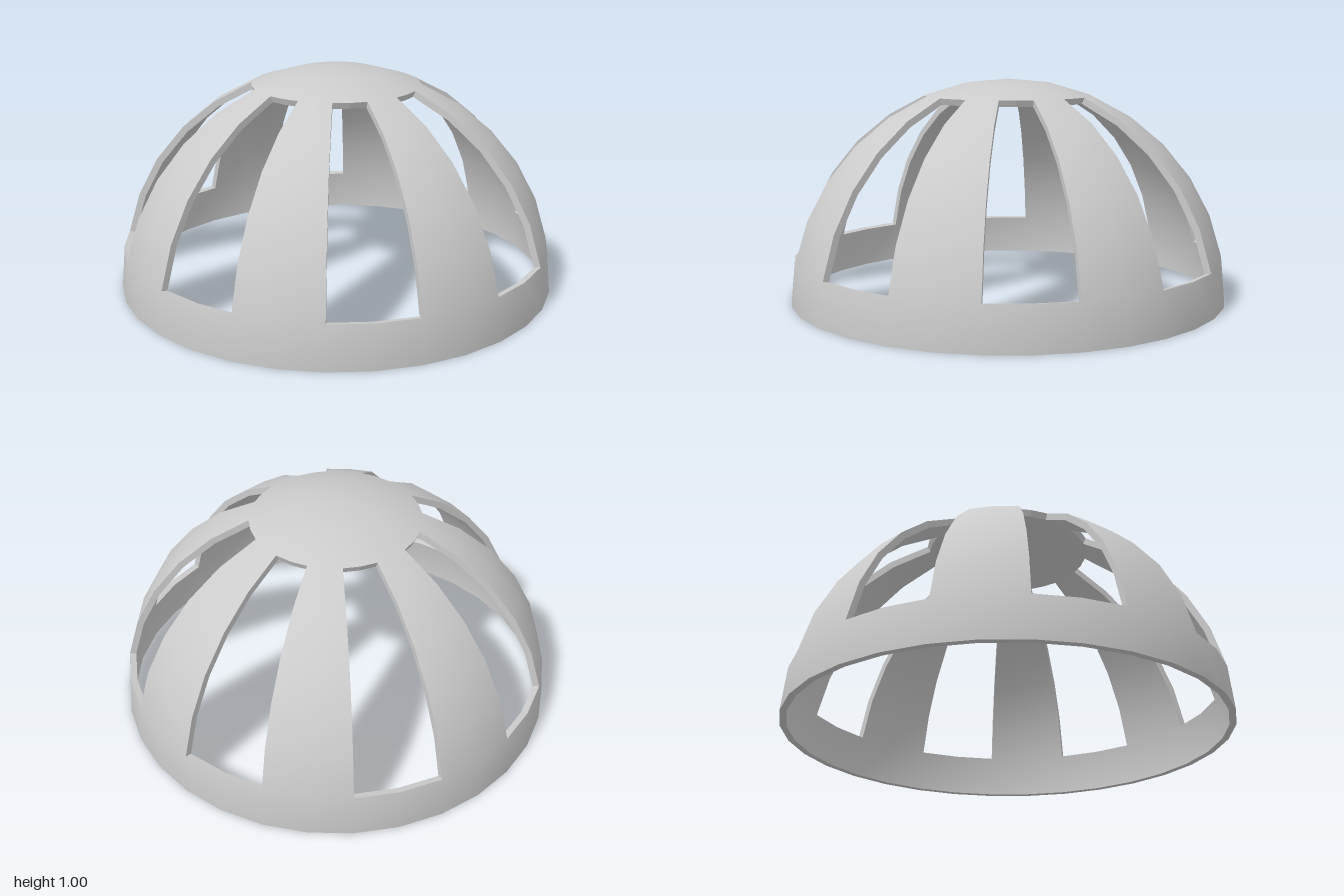
import * as THREE from 'three';

const SEGMENTS = 32, RINGS = 8;    // cells around the dome and from pole to base
const OUTER = 1, INNER = 0.97;
const CROWN_END = 2, RIM_START = 7; // rings between these hold the ribs and windows

// Point of the spherical grid: segment i counted from the front, ring k from the pole
function point(i, k, r) {
  const a = (i / SEGMENTS) * Math.PI * 2, t = (k / RINGS) * Math.PI / 2;
  return new THREE.Vector3(Math.sin(t) * Math.sin(a), Math.cos(t), Math.sin(t) * Math.cos(a)).multiplyScalar(r);
}

// Two-cell ribs alternate with two-cell windows; crown and rim are closed
function solid(i, k) {
  if (k >= RINGS) return false;
  return k < CROWN_END || k >= RIM_START || (i + 1 + SEGMENTS) % 4 < 2;
}

// Thick shell over a range of cells, walled wherever it borders an opening
function shell(name, i0, i1, k0, k1, material) {
  const positions = [], normals = [];
  const triangle = (pts, nrm) => pts.forEach((p, n) => {
    positions.push(p.x, p.y, p.z);
    normals.push(nrm[n].x, nrm[n].y, nrm[n].z);
  });
  const quad = (p, n) => {
    triangle([p[0], p[1], p[2]], [n[0], n[1], n[2]]);
    if (p[0].distanceTo(p[3]) > 1e-6) triangle([p[0], p[2], p[3]], [n[0], n[2], n[3]]);
  };
  const wall = (p, q) => {
    const c = [point(...p, OUTER), point(...p, INNER), point(...q, INNER), point(...q, OUTER)];
    const n = c[1].clone().sub(c[0]).cross(c[3].clone().sub(c[0])).normalize();
    quad(c, [n, n, n, n]);
  };
  for (let i = i0; i < i1; i++) {
    for (let k = k0; k < k1; k++) {
      const tl = [i, k], bl = [i, k + 1], br = [i + 1, k + 1], tr = [i + 1, k];
      // Smooth outer and inner skins
      const out = [tl, bl, br, tr], inn = [tl, tr, br, bl];
      const radial = out.map(c => point(...c, 1));
      quad(out.map(c => point(...c, OUTER)), radial);
      if (k > 0) {
        quad(inn.map(c => point(...c, INNER)), inn.map(c => point(...c, -1)));
      } else {
        triangle([tl, br, bl].map(c => point(...c, INNER)), [tl, br, bl].map(c => point(...c, -1)));
      }
      // Flat walls around the windows and under the rim
      if (!solid(i - 1, k)) wall(tl, bl);
      if (!solid(i, k + 1)) wall(bl, br);
      if (!solid(i + 1, k)) wall(br, tr);
      if (k > 0 && !solid(i, k - 1)) wall(tr, tl);
    }
  }
  const geometry = new THREE.BufferGeometry();
  geometry.setAttribute('position', new THREE.Float32BufferAttribute(positions, 3));
  geometry.setAttribute('normal', new THREE.Float32BufferAttribute(normals, 3));
  const mesh = new THREE.Mesh(geometry, material);
  mesh.name = name;
  return mesh;
}

export function createModel() {
  const material = new THREE.MeshStandardMaterial({ color: 0xcccccc });
  const dome = new THREE.Group();
  dome.name = 'ribbedDome';

  dome.add(shell('crown', 0, SEGMENTS, 0, CROWN_END, material));
  dome.add(shell('baseRim', 0, SEGMENTS, RIM_START, RINGS, material));

  // Eight ribs, each centred on a multiple of 45 degrees
  const ribs = new THREE.Group();
  ribs.name = 'ribs';
  for (let n = 0; n < 8; n++) {
    ribs.add(shell('rib' + (n + 1), n * 4 - 1, n * 4 + 1, CROWN_END, RIM_START, material));
  }
  dome.add(ribs);
  return dome;
}
